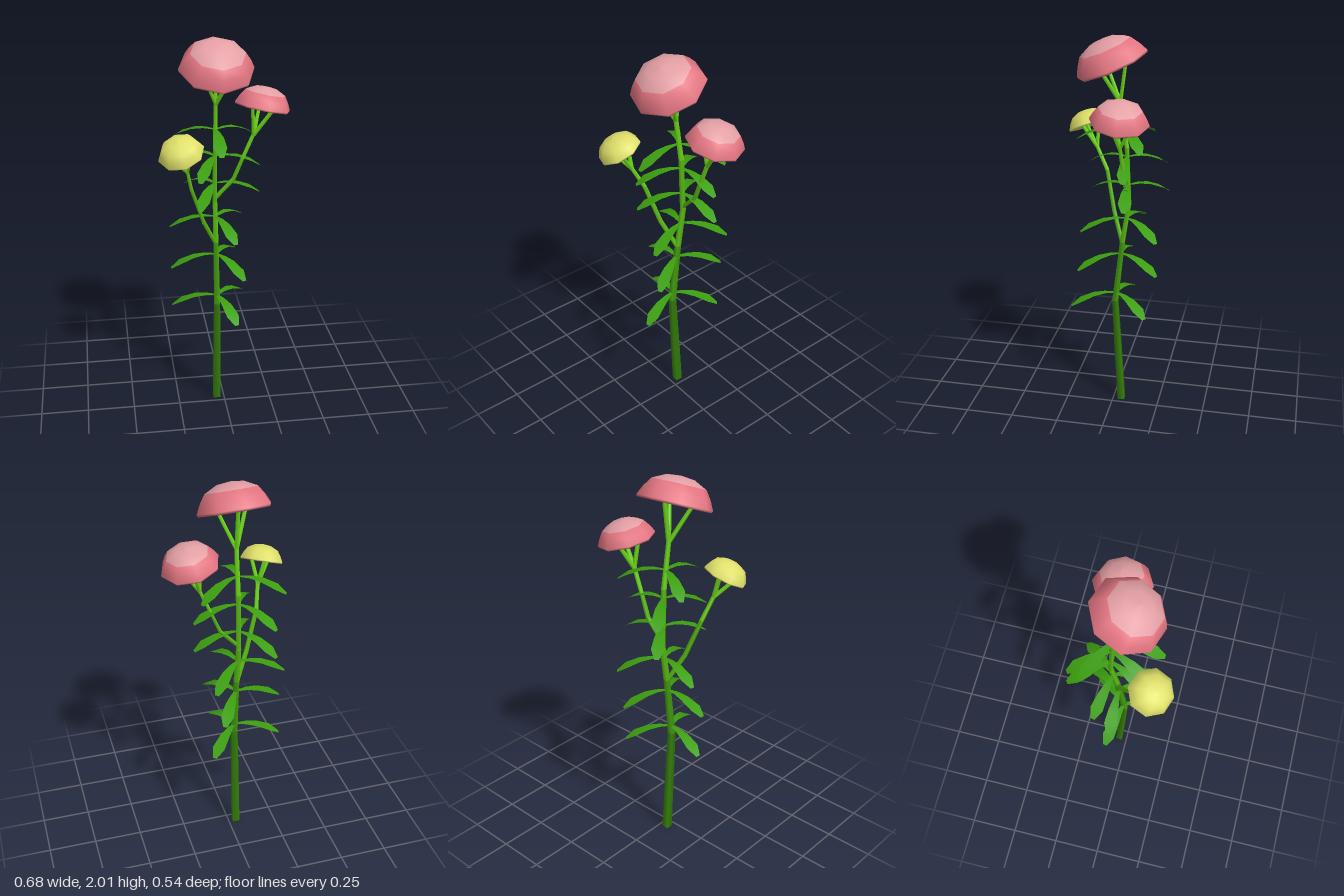
import * as THREE from 'three';

const mat = (name, color, side = THREE.FrontSide) => {
  const m = new THREE.MeshStandardMaterial({ color, side });
  m.name = name;
  return m;
};
const V = (a) => new THREE.Vector3(...a);
const UP = new THREE.Vector3(0, 1, 0);

export function createModel() {
  const root = new THREE.Group();
  root.name = 'floweringPlant';
  const darkStem = mat('dark stem green', 0x357f0a);
  const midStem = mat('middle stem green', 0x449e0e);
  const upperStem = mat('upper stem green', 0x5cc014);
  const brightStem = mat('bright stem green', 0x70dc1a);
  const leafGreen = mat('leaf green', 0x3c9f0e, THREE.DoubleSide);
  const pink = mat('pink', 0xe47682);
  const palePink = mat('pale pink', 0xe4a0a5);
  const yellow = mat('yellow', 0xdfe069);

  const add = (parent, name, geometry, material) => {
    const mesh = new THREE.Mesh(geometry, material);
    mesh.name = name;
    parent.add(mesh);
    return mesh;
  };

  // Tapered four-sided piece between two points
  const rod = (parent, name, a, b, r0, r1, material) => {
    const d = b.clone().sub(a);
    const geometry = new THREE.CylinderGeometry(r1, r0, d.length(), 4).rotateY(Math.PI / 4);
    const mesh = add(parent, name, geometry, material);
    mesh.position.copy(a).addScaledVector(d, 0.5);
    mesh.quaternion.setFromUnitVectors(UP, d.normalize());
  };

  // Stalk through points given as [x, y, z, radius, material of the piece above]
  const stalk = (name, pts) => {
    const g = new THREE.Group();
    g.name = name;
    for (let i = 0; i < pts.length - 1; i++) {
      const [p, q] = [pts[i], pts[i + 1]];
      rod(g, name + 'Piece', V(p.slice(0, 3)), V(q.slice(0, 3)), p[3], q[3], p[4] || upperStem);
    }
    root.add(g);
  };
  stalk('mainStem', [
    [-0.04, 0, -0.045, 0.026, darkStem],
    [-0.04, 0.34, -0.025, 0.024, darkStem],
    [-0.04, 0.6, -0.01, 0.021, midStem],
    [-0.04, 0.82, -0.034, 0.018, midStem],
    [-0.04, 0.94, -0.047, 0.017],
    [-0.04, 1.15, -0.08, 0.015],
    [-0.04, 1.45, -0.068, 0.014, brightStem],
    [-0.04, 1.69, -0.033, 0.012],
  ]);
  stalk('rightBranch', [
    [-0.04, 0.93, -0.047, 0.013], [-0.11, 1.08, 0.01, 0.013],
    [-0.175, 1.28, 0.06, 0.012, brightStem], [-0.2, 1.4, 0.12, 0.011],
  ]);
  stalk('leftBranch', [
    [-0.04, 1.17, -0.08, 0.012], [0.055, 1.27, -0.08, 0.012],
    [0.1, 1.38, -0.075, 0.011, brightStem], [0.155, 1.51, -0.07, 0.011],
  ]);

  // Flower heads: eight-sided domes with a hollow underside, held by three prongs
  const profile = [[0, 0.2], [0.6, 0.13], [0.98, 0], [1, 0.06], [0.88, 0.3], [0.72, 0.53], [0.37, 0.7], [0, 0.74]]
    .map(([r, h]) => new THREE.Vector2(r, h));
  const sideRows = 5;
  const head = (name, center, normal, R, fork, sideMat, capMat) => {
    const g = new THREE.Group();
    g.name = name;
    const dome = new THREE.LatheGeometry(profile, 8, 0.07);
    // In each of the eight sectors, underside and side faces come first, then the cap
    const perSector = dome.index.count / 8;
    for (let i = 0; i < 8; i++) {
      dome.addGroup(i * perSector, sideRows * 6, 0);
      dome.addGroup(i * perSector + sideRows * 6, perSector - sideRows * 6, 1);
    }
    const bloom = add(g, name + 'Bloom', dome, [sideMat, capMat]);
    bloom.position.copy(V(center));
    bloom.quaternion.setFromUnitVectors(UP, V(normal).normalize());
    bloom.scale.setScalar(R);
    bloom.updateMatrix();
    for (let i = 0; i < 3; i++) {
      const t = Math.PI / 6 + (i * Math.PI * 2) / 3;
      const end = new THREE.Vector3(0.5 * Math.cos(t), 0.2, 0.5 * Math.sin(t)).applyMatrix4(bloom.matrix);
      rod(g, 'prong', V(fork), end, 0.0115, 0.0105, brightStem);
    }
    root.add(g);
  };
  head('topFlower', [-0.042, 1.858, 0.005], [0.05, 0.923, 0.386], 0.186, [-0.04, 1.68, -0.034], pink, palePink);
  head('leftFlower', [0.197, 1.642, -0.075], [0.22, 1, -0.12], 0.144, [0.155, 1.505, -0.07], pink, palePink);
  head('rightFlower', [-0.23, 1.498, 0.162], [-0.28, 1, 0.4], 0.114, [-0.2, 1.395, 0.118], yellow, yellow);

  // Leaf: drooping blade along +x from cross-sections [distance, height, half width]
  const sections = [[0, 0, 0.007], [0.25, 0.003, 0.016], [0.5, -0.006, 0.026], [0.8, -0.034, 0.033], [1, -0.066, 0.011]];
  const pos = [];
  const idx = [];
  sections.forEach(([d, h, w], i) => {
    pos.push(d, h, -w, d, h, w);
    const k = i * 2;
    if (i) idx.push(k - 2, k - 1, k, k - 1, k + 1, k);
  });
  const leafGeo = new THREE.BufferGeometry();
  leafGeo.setAttribute('position', new THREE.Float32BufferAttribute(pos, 3));
  leafGeo.setIndex(idx);
  leafGeo.computeVertexNormals();

  // Whorls of three leaves: [height, stem z, turn in degrees, length]
  const whorls = [
    [0.648, -0.015, 192, 0.238], [0.876, -0.04, 180, 0.236], [1.076, -0.068, 192, 0.238],
    [1.256, -0.076, -5, 0.234], [1.404, -0.07, -5, 0.232], [1.548, -0.053, 210, 0.24],
  ];
  for (const [y, z, turn, length] of whorls) {
    const whorl = new THREE.Group();
    whorl.name = 'leafWhorl';
    whorl.position.set(-0.04, y, z);
    for (let i = 0; i < 3; i++) {
      const leaf = add(whorl, 'leaf', leafGeo, leafGreen);
      leaf.rotation.y = -THREE.MathUtils.degToRad(turn + i * 120);
      leaf.scale.x = length;
    }
    root.add(whorl);
  }
  return root;
}
